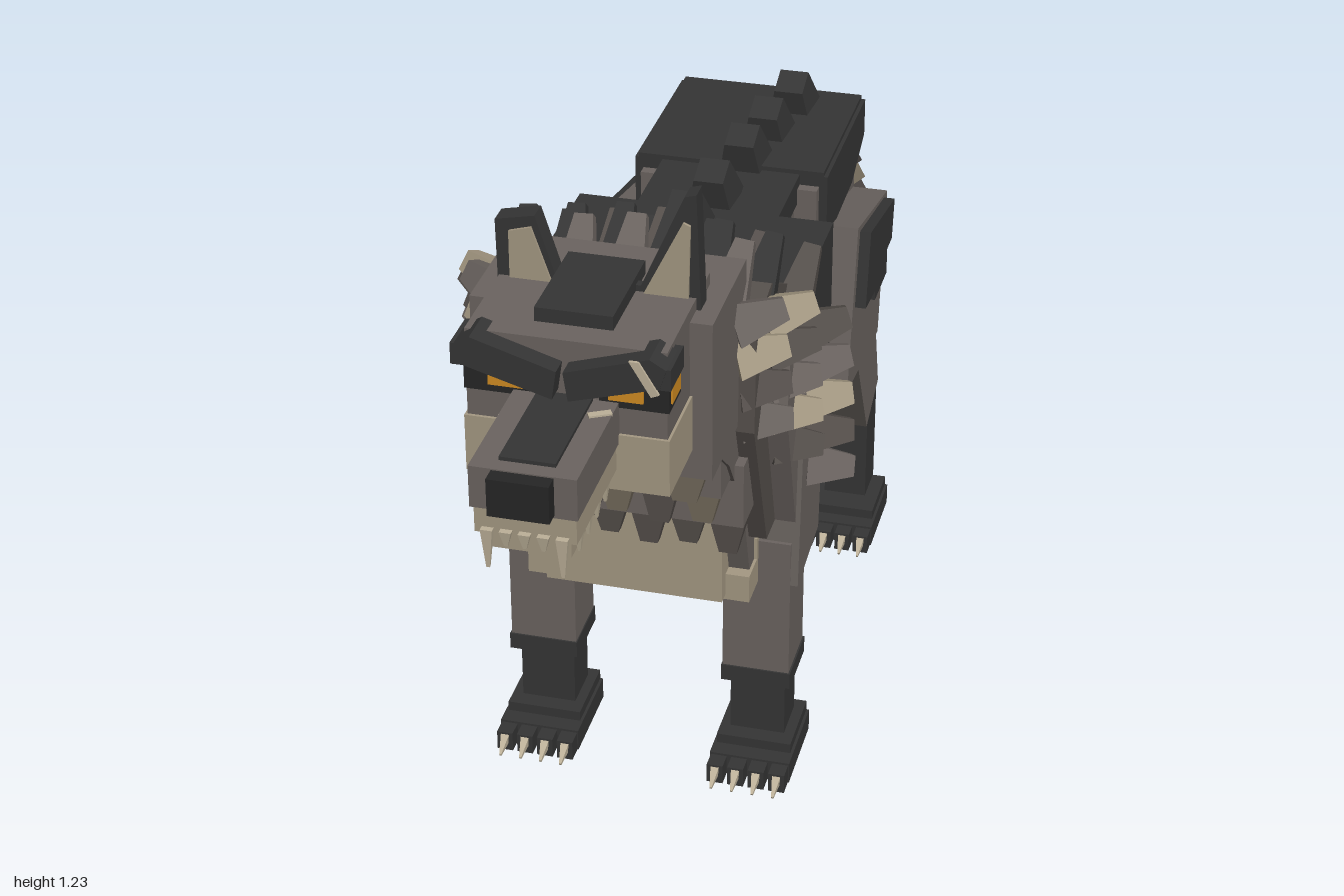
import * as THREE from 'three';

const colour = (name, hex) => {
  const m = new THREE.MeshStandardMaterial({ color: hex });
  m.name = name;
  return m;
};

export function createModel() {
  const fur = colour('grey fur', 0x6b6460), shade = colour('deep fur', 0x554f4b);
  const dark = colour('charcoal fur', 0x353535), black = colour('nose black', 0x262626);
  const tan = colour('tan fur', 0xa59983), olive = colour('olive fur', 0x746b5c);
  const bone = colour('bone', 0xbdb199), amber = colour('amber eye', 0xd08c22);
  const root = new THREE.Group();
  root.name = 'wolf';

  const add = (name, geo, mat) => {
    const m = new THREE.Mesh(geo, mat);
    m.name = name;
    root.add(m);
    return m;
  };
  // Box from its limits, optionally pitched about its centre
  const box = (name, mat, x0, x1, y0, y1, z0, z1, pitch = 0) => {
    const m = add(name, new THREE.BoxGeometry(Math.abs(x1 - x0), y1 - y0, z1 - z0), mat);
    m.position.set((x0 + x1) / 2, (y0 + y1) / 2, (z0 + z1) / 2);
    m.rotation.x = pitch;
    return m;
  };
  const extrude = (pts, depth) => new THREE.ExtrudeGeometry(
    new THREE.Shape(pts.map(p => new THREE.Vector2(p[0], p[1]))), { depth, bevelEnabled: false });
  // Side profile in (z, y) extended across x
  const side = (name, mat, pts, x0, x1) => {
    const a = Math.min(x0, x1), b = Math.max(x0, x1);
    return add(name, extrude(pts, b - a).rotateY(-Math.PI / 2).translate(b, 0, 0), mat);
  };
  // Front outline in (x, y) extended along z
  const front = (name, mat, pts, z0, z1) => add(name, extrude(pts, z1 - z0).translate(0, 0, z0), mat);
  // Blocky tapering tuft growing from a point
  const up = new THREE.Vector3(0, 1, 0);
  const tuft = (name, mat, pos, dir, w, d, len, tip = 0.45) => {
    let g = new THREE.BoxGeometry(w, len, d).translate(0, len / 2, 0);
    const p = g.attributes.position;
    for (let i = 0; i < p.count; i++) {
      if (p.getY(i) > len / 2) { p.setX(i, p.getX(i) * tip); p.setZ(i, p.getZ(i) * tip); }
    }
    g = g.toNonIndexed();
    g.computeVertexNormals();
    const m = add(name, g, mat);
    m.position.set(...pos);
    m.quaternion.setFromUnitVectors(up, new THREE.Vector3(...dir).normalize());
    return m;
  };

  // Trunk
  box('ribcage', fur, -0.215, 0.215, 0.45, 0.84, -0.08, 0.28);
  box('waist', fur, -0.12, 0.12, 0.5, 0.83, -0.3, -0.06);
  box('hindquarters', fur, -0.16, 0.16, 0.49, 0.83, -0.595, -0.25);
  box('saddle', dark, -0.22, 0.22, 0.8, 0.86, -0.085, 0.22);
  box('waistSaddle', dark, -0.125, 0.125, 0.8, 0.85, -0.28, -0.08);
  box('rumpSaddle', dark, -0.168, 0.168, 0.8, 0.858, -0.605, -0.27);
  box('belly', tan, -0.19, 0.19, 0.38, 0.47, -0.05, 0.32);
  box('bellyUnderside', tan, -0.14, 0.14, 0.375, 0.4, 0.02, 0.37);
  for (let i = 0; i < 4; i++) {
    tuft('waistFringe', i % 2 ? olive : tan, [0, 0.52, -0.1 - i * 0.045], [0, -1, 0], 0.2, 0.045, 0.05);
  }

  // Raised spine tufts running slightly askew
  [[0.055, -0.53], [0.035, -0.41], [0.02, -0.29], [0.002, -0.14], [-0.015, -0.01], [-0.03, 0.09]].forEach(([x, z]) =>
    tuft('spineTuft', dark, [x, 0.84, z - 0.01], [0, 1, 0.4], 0.08, 0.085, 0.08, 0.65));

  // Neck and layered throat
  side('neck', fur, [[0.12, 0.5], [0.35, 0.42], [0.4, 0.58], [0.5, 0.72], [0.57, 0.78], [0.57, 0.98], [0.44, 1.0], [0.16, 0.86]], -0.185, 0.185);
  side('maneCollar', shade, [[0.22, 0.5], [0.36, 0.5], [0.46, 0.76], [0.45, 0.95], [0.35, 0.97], [0.2, 0.89]], -0.215, 0.215);
  side('rearCollar', fur, [[0.17, 0.55], [0.3, 0.5], [0.38, 0.75], [0.35, 0.92], [0.2, 0.87]], -0.25, 0.25);
  box('breast', tan, -0.15, 0.15, 0.39, 0.57, 0.3, 0.4);
  box('breastLedge', tan, -0.19, 0.19, 0.38, 0.43, 0.28, 0.375);
  box('throatUpper', fur, -0.18, 0.18, 0.68, 0.77, 0.42, 0.535);
  box('throatLower', fur, -0.2, 0.2, 0.585, 0.7, 0.34, 0.465);
  [[0.765, 0.55, 4, 0.086, 0.07, olive], [0.68, 0.48, 5, 0.07, 0.075, shade], [0.58, 0.41, 6, 0.066, 0.065, shade]].forEach(
    ([y, z, n, w, len, mat], row) => {
      for (let i = 0; i < n; i++) {
        const m = row === 1 && i % 2 === 0 ? olive : mat;
        tuft('throatTuft', m, [(i - (n - 1) / 2) * w, y, z], [0, -1, 0.08], w * 0.98, 0.04, len + (i % 2) * 0.01);
      }
    });

  // Mane crest rows sweeping backwards
  [[0.44, 0.97, 5, 0.08, fur], [0.36, 0.95, 6, 0.075, dark], [0.26, 0.89, 7, 0.075, shade]].forEach(([z, y, n, w, mat], row) => {
    for (let i = 0; i < n; i++) {
      const x = (i - (n - 1) / 2) * w;
      tuft('maneCrest', (i + row) % 3 === 0 ? dark : mat, [x, y - Math.abs(x) * 0.15, z], [x * 0.6, 0.72, -0.7], w * 0.85, 0.045, 0.13);
    }
  });

  for (const s of [-1, 1]) {
    // Side mane, in three columns following the neck
    [[0.18, 0.46, 0.95, 0.065, 4], [0.21, 0.375, 0.92, 0.065, 5], [0.245, 0.285, 0.85, 0.07, 5]].forEach(([x, z, y, step, n], c) => {
      for (let i = 0; i < n; i++) {
        const mat = [fur, tan, shade][(i + c) % 3];
        tuft('sideMane', mat, [s * x, y - i * step, z - i * 0.015], [s, 0.3 - i * 0.12, -0.45], 0.07, 0.06, 0.085, 0.5);
      }
    });
    // Saddle flaps
    side('saddleFlap', dark, [[0.21, 0.86], [0.21, 0.73], [0.13, 0.73], [0.13, 0.66], [0.04, 0.66], [0.04, 0.63], [-0.085, 0.63], [-0.085, 0.86]].reverse(), s * 0.2, s * 0.224);
    side('rumpFlap', dark, [[-0.27, 0.85], [-0.605, 0.85], [-0.605, 0.78], [-0.5, 0.73], [-0.27, 0.72]], s * 0.15, s * 0.175);
    for (let i = 0; i < 4; i++) {
      tuft('bellyFringe', i % 2 ? tan : olive, [s * 0.2, 0.46, 0.1 - i * 0.045], [0, -1, 0], 0.03, 0.045, 0.08);
    }

    // Front leg
    side('shoulder', fur, [[0.28, 0.735], [0.12, 0.71], [0.15, 0.4], [0.31, 0.38]], s * 0.14, s * 0.258);
    box('frontLeg', fur, s * 0.13, s * 0.245, 0.19, 0.46, 0.2, 0.31);
    box('frontCuff', dark, s * 0.128, s * 0.248, 0.17, 0.2, 0.197, 0.313);
    box('frontShin', dark, s * 0.14, s * 0.235, 0.04, 0.18, 0.21, 0.29);
    // Hind leg
    side('thigh', fur, [[-0.31, 0.735], [-0.59, 0.675], [-0.54, 0.4], [-0.25, 0.43]], s * 0.13, s * 0.225);
    side('hipPatch', dark, [[-0.33, 0.72], [-0.56, 0.675], [-0.545, 0.6], [-0.5, 0.6], [-0.5, 0.55], [-0.39, 0.55], [-0.39, 0.57], [-0.3, 0.58]], s * 0.2, s * 0.245);
    side('hock', fur, [[-0.36, 0.43], [-0.53, 0.43], [-0.58, 0.27], [-0.475, 0.225]], s * 0.135, s * 0.222);
    box('hindShin', dark, s * 0.14, s * 0.22, 0.04, 0.265, -0.575, -0.492);

    // Paws with toes and claws
    [['front', 0.188, 0.19], ['hind', 0.18, -0.57]].forEach(([n, x, z]) => {
      box(n + 'Paw', dark, s * x - 0.07, s * x + 0.07, 0, 0.04, z, z + 0.16);
      box(n + 'PawTop', dark, s * x - 0.065, s * x + 0.065, 0.03, 0.058, z, z + 0.13);
      for (let i = 0; i < 4; i++) {
        const tx = s * x + (i - 1.5) * 0.036;
        box(n + 'Toe', dark, tx - 0.014, tx + 0.014, 0, 0.036, z + 0.14, z + 0.19);
        tuft(n + 'Claw', bone, [tx, 0.025, z + 0.185], [0, -0.5, 1], 0.015, 0.018, 0.037, 0.25);
      }
    });
    // Feathering behind each leg
    for (let i = 0; i < 4; i++) {
      const mat = i % 2 ? olive : shade;
      tuft('frontFeather', mat, [s * 0.19, 0.43 - i * 0.042, 0.2], [0, -0.45, -1], 0.08 - i * 0.008, 0.045, 0.075, 0.6);
      tuft('hindFeather', i % 2 ? olive : fur, [s * 0.18, 0.5 - i * 0.048, -0.53 - i * 0.006], [0, -0.4, -1], 0.075, 0.045, 0.085, 0.6);
    }
  }

  // Claw scars on the right flank
  for (let i = 0; i < 3; i++) {
    const z = 0.13 - i * 0.035, y = 0.585 + i * 0.022;
    side('flankScar', bone, [[z, y + 0.04], [z - 0.14, y - 0.035], [z - 0.15, y - 0.025], [z - 0.04, y + 0.04]], -0.222, -0.216);
  }

  // Head
  box('skull', fur, -0.188, 0.188, 0.77, 1.04, 0.41, 0.625);
  box('face', fur, -0.153, 0.153, 0.84, 1.06, 0.5, 0.755);
  box('jowls', tan, -0.157, 0.157, 0.82, 0.915, 0.6, 0.76);
  box('crown', dark, -0.06, 0.06, 1.05, 1.083, 0.53, 0.71);
  box('chin', shade, -0.05, 0.05, 0.79, 0.82, 0.72, 0.79);
  tuft('chinTuft', olive, [0, 0.82, 0.82], [0, -1, 0], 0.06, 0.06, 0.05);
  // Muzzle
  box('muzzle', fur, -0.08, 0.08, 0.9, 0.968, 0.74, 0.975);
  box('muzzleLip', tan, -0.076, 0.076, 0.855, 0.905, 0.74, 0.968);
  box('lowerJaw', tan, -0.062, 0.062, 0.82, 0.856, 0.74, 0.95);
  box('muzzleStripe', dark, -0.042, 0.042, 0.962, 0.974, 0.76, 0.95);
  box('nose', black, -0.046, 0.046, 0.905, 0.966, 0.95, 1);
  for (let i = 0; i < 5; i++) {
    tuft('frontTooth', bone, [(i - 2) * 0.028, 0.865, 0.972], [0, -1, 0], 0.018, 0.012, i % 4 ? 0.025 : 0.065, 0.3);
  }
  box('rightMuzzleScar', bone, -0.082, -0.079, 0.905, 0.965, 0.86, 0.872, 0.5);
  box('rightMuzzleScar', bone, -0.082, -0.079, 0.91, 0.965, 0.81, 0.825, 0.5);
  box('leftMuzzleScar', bone, 0.045, 0.08, 0.966, 0.971, 0.79, 0.802).rotation.y = 0.5;

  for (const s of [-1, 1]) {
    for (let i = 0; i < 4; i++) {
      tuft('sideTooth', bone, [s * 0.07, 0.86, 0.8 + i * 0.045], [0, -1, 0], 0.012, 0.018, 0.035, 0.3);
    }
    // Eyes wrap from the face to the temples
    box('eyeSocket', black, s * 0.05, s * 0.156, 0.96, 1.03, 0.69, 0.757);
    box('eye', amber, s * 0.065, s * 0.118, 0.973, 1.015, 0.755, 0.761);
    box('templeEye', amber, s * 0.152, s * 0.159, 0.972, 1.007, 0.7, 0.748);
    const brow = [[0.16, 1.05], [0.15, 1.018], [0.012, 0.978], [0.005, 1.025], [0.135, 1.065]].map(([x, y]) => [s * x, y]);
    front('brow', dark, brow, 0.725, 0.788);
    box('browSide', dark, s * 0.135, s * 0.166, 1.015, 1.05, 0.71, 0.785);
    box('browRidge', dark, s * 0.05, s * 0.15, 1.05, 1.07, 0.57, 0.585);
  }
  front('browScar', bone, [[0.105, 1.06], [0.12, 1.06], [0.15, 1.01], [0.138, 1.005]], 0.787, 0.792);

  // Left ear tall and pointed, right ear torn short
  front('leftEar', dark, [[0.055, 1.04], [0.16, 1.04], [0.153, 1.23], [0.135, 1.225]], 0.55, 0.585);
  front('leftInnerEar', tan, [[0.073, 1.06], [0.142, 1.06], [0.145, 1.18], [0.134, 1.185]], 0.585, 0.59);
  front('rightEar', dark, [[-0.055, 1.04], [-0.155, 1.04], [-0.157, 1.153], [-0.095, 1.166]], 0.55, 0.585);
  front('rightInnerEar', tan, [[-0.07, 1.06], [-0.135, 1.06], [-0.135, 1.138], [-0.1, 1.148]], 0.585, 0.59);

  // Tail
  side('tailRoot', fur, [[-0.57, 0.83], [-0.66, 0.82], [-0.77, 0.75], [-0.72, 0.64], [-0.57, 0.66]], -0.055, 0.055);
  side('tailBrush', fur, [[-0.68, 0.79], [-0.77, 0.76], [-0.93, 0.57], [-0.85, 0.48], [-0.67, 0.64]], -0.08, 0.08);
  side('tailPatch', dark, [[-0.775, 0.765], [-0.925, 0.59], [-0.91, 0.57], [-0.76, 0.745]], -0.058, 0.058);
  [[0, 0.54, -0.88, 0.145], [0.045, 0.52, -0.86, 0.13], [-0.045, 0.52, -0.86, 0.13]].forEach(([x, y, z, len]) =>
    tuft('tailTip', dark, [x, y, z], [x * 1.5, -0.78, -0.62], 0.08, 0.09, len + 0.025, 0.3));
  tuft('tailTip', dark, [0, 0.52, -0.82], [0, -1, -0.15], 0.1, 0.06, 0.14, 0.3);
  for (const s of [-1, 1]) {
    for (let i = 0; i < 4; i++) {
      tuft('tailSideTuft', [shade, tan, fur, shade][i], [s * 0.075, 0.72 - i * 0.055, -0.73 - i * 0.04], [s * 0.35, -0.8, -0.6], 0.045, 0.07, 0.13);
      tuft('tailUnderTuft', [fur, olive, shade, fur][i], [s * 0.045, 0.65 - i * 0.045, -0.68 - i * 0.04], [s * 0.2, -1, -0.35], 0.07, 0.05, 0.09);
    }
  }
  return root;
}
